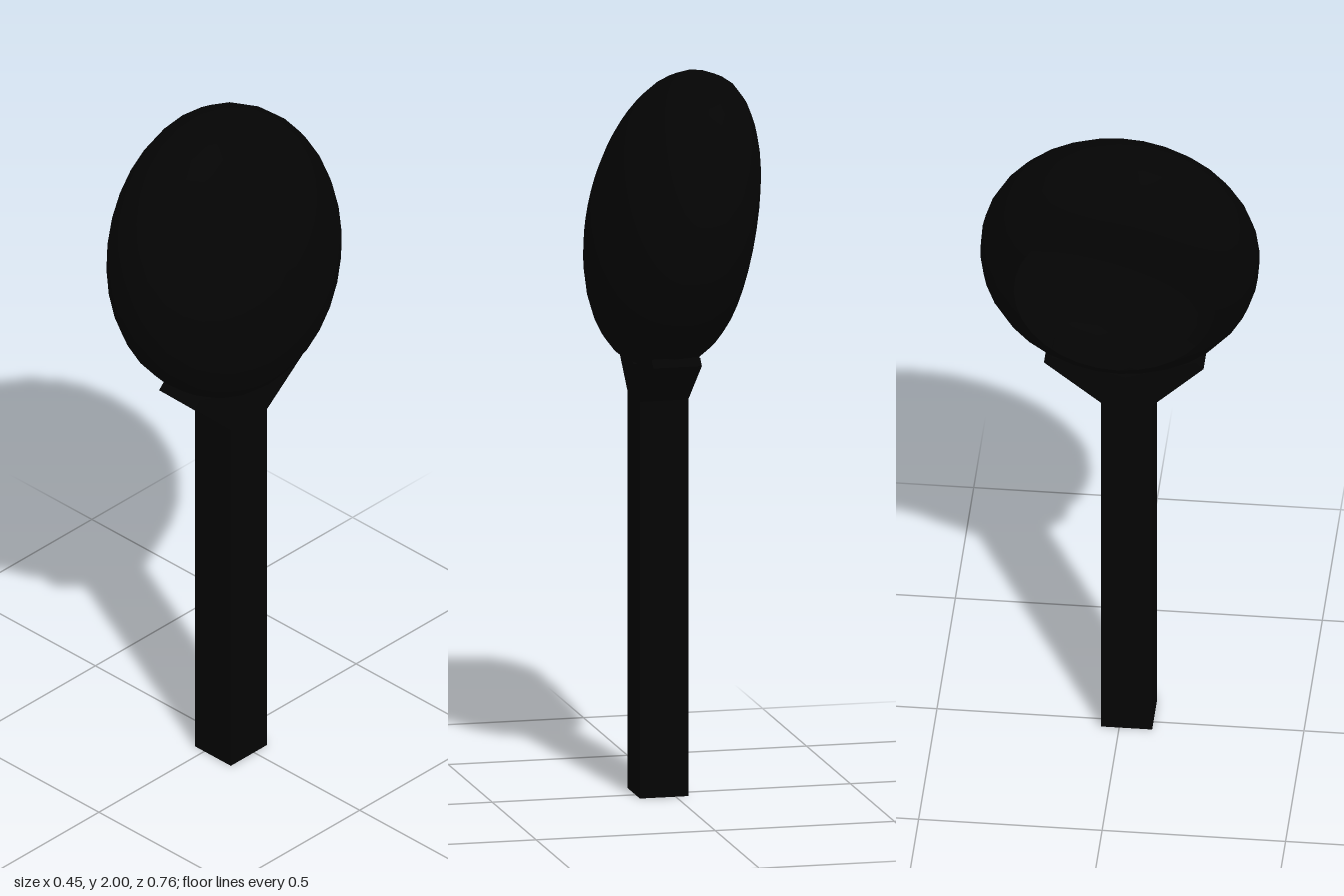
import * as THREE from 'three';

export function createModel() {
  const group = new THREE.Group();
  const material = new THREE.MeshStandardMaterial({ color: 0x040404 });
  const add = (name, geometry, mat = material) => {
    const mesh = new THREE.Mesh(geometry, mat);
    mesh.name = name;
    group.add(mesh);
    return mesh;
  };

  // Square handle
  add('handle', new THREE.BoxGeometry(0.135, 1.1, 0.14)).position.set(0.0325, 0.55, 0.02);

  // Forked neck that cradles the head
  const fork = new THREE.Shape([
    [-0.05, 1.1], [0.09, 1.1], [0.23, 1.235], [0.21, 1.255],
    [0.02, 1.19], [-0.185, 1.245], [-0.205, 1.225],
  ].map(([z, y]) => new THREE.Vector2(z, y)));
  const neck = add('neck', new THREE.ExtrudeGeometry(fork, { depth: 0.135, bevelEnabled: false }));
  neck.rotation.y = -Math.PI / 2;
  neck.position.x = 0.1;

  // Head: hollow bowl profile, from the middle of the dome to the open rim
  const R = 0.41, widest = 0.01, rimHeight = 0.171;
  const profile = [];
  for (let i = 0; i <= 10; i++) {
    const a = (i / 10) * Math.PI / 2;
    profile.push(new THREE.Vector2(R * Math.sin(a), widest - 0.217 * Math.cos(a)));
  }
  for (let i = 1; i <= 6; i++) {
    const rise = (rimHeight - widest) * Math.sin((i / 6) * Math.PI / 2);
    profile.push(new THREE.Vector2(R * (1 - (rise / 0.2) ** 2.6) ** (1 / 2.6), widest + rise));
  }
  const shell = new THREE.LatheGeometry(profile, 32);

  // The rim leans a little against the dome
  const p = shell.attributes.position;
  for (let i = 0; i < p.count; i++) {
    const lean = Math.max(0, (p.getY(i) - widest) / (rimHeight - widest));
    p.setY(i, p.getY(i) - 0.05 * p.getX(i) * lean);
  }

  // Tilted so the opening looks sideways and slightly down
  const bowl = add('bowl', shell, new THREE.MeshStandardMaterial({ color: 0x040404, side: THREE.DoubleSide }));
  bowl.position.set(0.005, 1.597, 0);
  bowl.rotation.z = Math.PI / 2 + 0.25;
  bowl.scale.z = 0.927;

  return group;
}
